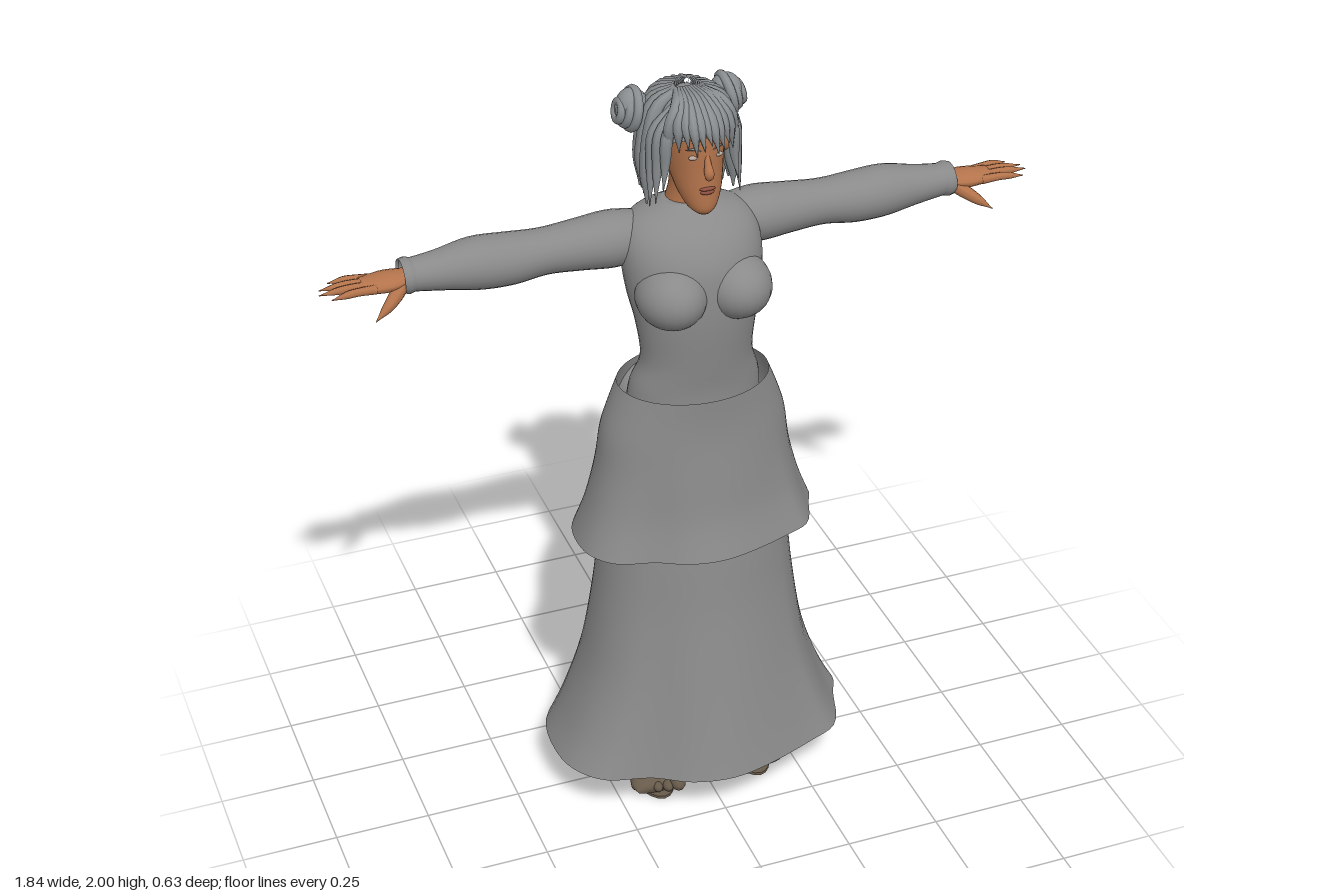
import * as THREE from 'three';
import { mergeVertices } from 'three/addons/utils/BufferGeometryUtils.js';

const mat = (name, color, side = THREE.FrontSide) => {
  const m = new THREE.MeshStandardMaterial({ color, side });
  m.name = name;
  return m;
};
const TAU = Math.PI * 2;
const V = (p) => new THREE.Vector3(...p);

// Smoothly resample a short table of rows to n + 1 rows
function smoothRows(rows, n) {
  const curves = rows[0].map((_, k) => new THREE.SplineCurve(rows.map((r, i) => new THREE.Vector2(i, r[k]))));
  return Array.from({ length: n + 1 }, (_, i) => curves.map((c) => c.getPoint(i / n).y));
}

// Skin a stack of closed rings, with optional end caps
function skin(rings, capStart = false, capEnd = false) {
  const m = rings[0].length, pos = rings.flat(2), idx = [];
  for (let i = 0; i < rings.length - 1; i++) {
    for (let j = 0; j < m; j++) {
      const a = i * m + j, b = i * m + (j + 1) % m, c = a + m, d = b + m;
      idx.push(a, c, b, b, c, d);
    }
  }
  const cap = (i, flip) => {
    const mid = [0, 1, 2].map((k) => rings[i].reduce((s, p) => s + p[k], 0) / m);
    const c = pos.length / 3;
    pos.push(...mid);
    for (let j = 0; j < m; j++) {
      const a = i * m + j, b = i * m + (j + 1) % m;
      idx.push(c, flip ? b : a, flip ? a : b);
    }
  };
  if (capStart) cap(0, false);
  if (capEnd) cap(rings.length - 1, true);
  const g = new THREE.BufferGeometry();
  g.setAttribute('position', new THREE.Float32BufferAttribute(pos, 3));
  g.setIndex(idx);
  g.computeVertexNormals();
  return g;
}

// Upright body: rows of [y, half width, front z, back z, centre x]
function body(rows, n, seg, caps = true) {
  const rings = smoothRows(rows, n).map(([y, rx, zf, zb, cx = 0]) =>
    Array.from({ length: seg }, (_, j) => {
      const t = (j / seg) * TAU;
      return [cx + rx * Math.cos(t), y, (zf + zb) / 2 + ((zf - zb) / 2) * Math.sin(t)];
    }));
  return skin(rings, caps, caps);
}

// Tube with changing radius along a path, squashed per axis
function limb(points, radii, n, seg, squash = [1, 1, 1]) {
  const curve = new THREE.CatmullRomCurve3(points.map(V));
  const g = new THREE.TubeGeometry(curve, n, 1, seg);
  const r = smoothRows(radii.map((x) => [x]), n);
  const p = g.attributes.position, v = new THREE.Vector3(), s = V(squash);
  for (let i = 0; i < p.count; i++) {
    const ring = Math.floor(i / (seg + 1)), c = curve.getPointAt(ring / n);
    v.fromBufferAttribute(p, i).sub(c).multiply(s).multiplyScalar(Math.max(r[ring][0], 0.0008)).add(c);
    p.setXYZ(i, v.x, v.y, v.z);
  }
  g.deleteAttribute('uv');
  g.deleteAttribute('normal');
  const merged = mergeVertices(g, 1e-5);
  merged.computeVertexNormals();
  return merged;
}

// Uneven hem outline [x, z], scaled to about one unit
const HEM = [[0.385, 0], [0.36, 0.07], [0.31, 0.2], [0.23, 0.24], [0.1, 0.29], [0, 0.31], [-0.1, 0.29], [-0.19, 0.235],
  [-0.3, 0.2], [-0.36, 0.125], [-0.378, 0.02], [-0.36, -0.1], [-0.27, -0.22], [-0.16, -0.315], [0.03, -0.305],
  [0.23, -0.285], [0.29, -0.21], [0.365, -0.07]];

// Skirt tier: rows of [y, half width, front z, back z, hem influence]
function tier(rows) {
  const curve = new THREE.CatmullRomCurve3(HEM.map(([x, z]) => new THREE.Vector3(x / 0.38, 0, z / 0.312)), true);
  const outline = curve.getPoints(72).slice(0, 72);
  const rings = smoothRows(rows, 20).map(([y, rx, zf, zb, w]) => outline.map((o) => {
    const len = Math.hypot(o.x, o.z), k = (1 - w) / len + w;
    return [o.x * k * rx, y, o.z * k * (o.z > 0 ? zf : -zb)];
  }));
  return skin(rings);
}

export function createModel() {
  const model = new THREE.Group();
  model.name = 'dancer';
  const cloth = mat('grey cloth', 0x8a8a8a, THREE.DoubleSide);
  const hairMat = mat('grey hair', 0x8b8f91);
  const skinMat = mat('brown skin', 0xb4744c);
  const footMat = mat('dark stocking', 0x675a4a);
  const lipMat = mat('lips', 0x8e5040);
  const eyeMat = mat('eye', 0xb9aaa0);
  const add = (name, geo, m, parent = model) => {
    const mesh = new THREE.Mesh(geo, m);
    mesh.name = name;
    parent.add(mesh);
    return mesh;
  };
  const ball = (name, c, r, m, parent = model, w = 24) => {
    const g = new THREE.SphereGeometry(1, w, Math.ceil(w * 0.7));
    g.scale(...r).translate(...c);
    return add(name, g, m, parent);
  };

  // Skirt tiers, open at both ends
  add('lowerSkirt', tier([[0.15, 0.405, 0.312, -0.312, 1], [0.24, 0.36, 0.29, -0.29, 0.8], [0.4, 0.305, 0.255, -0.25, 0.5],
    [0.6, 0.27, 0.215, -0.205, 0.25], [0.78, 0.25, 0.19, -0.18, 0.1], [0.9, 0.235, 0.165, -0.165, 0]]), cloth);
  add('upperSkirt', tier([[0.785, 0.32, 0.22, -0.235, 0.9], [0.88, 0.285, 0.19, -0.2, 0.6], [0.99, 0.257, 0.172, -0.182, 0.25],
    [1.09, 0.242, 0.158, -0.168, 0.05], [1.16, 0.22, 0.153, -0.152, 0], [1.22, 0.196, 0.153, -0.142, 0]]), cloth);

  // Bodice
  add('torso', body([[1.14, 0.175, 0.12, -0.12], [1.22, 0.168, 0.118, -0.1], [1.3, 0.144, 0.126, -0.075], [1.4, 0.154, 0.135, -0.09],
    [1.48, 0.17, 0.135, -0.12], [1.56, 0.178, 0.125, -0.142], [1.62, 0.172, 0.095, -0.148], [1.66, 0.145, 0.055, -0.138],
    [1.685, 0.085, 0.02, -0.105], [1.695, 0.062, 0.005, -0.09]], 40, 40), cloth);

  for (const s of [1, -1]) {
    const side = s > 0 ? 'left' : 'right';
    ball(side + 'Bust', [s * 0.084, 1.495, 0.075], [0.088, 0.082, 0.1], cloth);
    ball(side + 'SeatCurve', [s * 0.088, 1.11, -0.125], [0.078, 0.088, 0.067], cloth);

    // Sleeve, open at the wrist
    add(side + 'Sleeve', limb([[s * 0.1, 1.603, -0.06], [s * 0.18, 1.603, -0.06], [s * 0.27, 1.603, -0.06], [s * 0.36, 1.602, -0.06],
      [s * 0.45, 1.598, -0.062], [s * 0.54, 1.602, -0.062], [s * 0.63, 1.602, -0.06], [s * 0.71, 1.603, -0.06]],
      [0.06, 0.07, 0.063, 0.057, 0.064, 0.064, 0.049, 0.039], 32, 24, [1, 1, 1.05]), cloth);
    add(side + 'Cuff', limb([[s * 0.685, 1.603, -0.06], [s * 0.7, 1.603, -0.06], [s * 0.715, 1.603, -0.06]],
      [0.04, 0.044, 0.041], 6, 20, [1, 1, 1.1]), cloth);

    // Hand with four fingers and a thumb
    const hand = new THREE.Group();
    hand.name = side + 'Hand';
    model.add(hand);
    add('palm', limb([[s * 0.62, 1.602, -0.06], [s * 0.69, 1.602, -0.06], [s * 0.75, 1.6, -0.055], [s * 0.815, 1.6, -0.052]],
      [0.026, 0.029, 0.043, 0.034], 14, 14, [1, 0.48, 1]), skinMat, hand);
    [[0.885, -0.093], [0.913, -0.065], [0.918, -0.042], [0.895, -0.01]].forEach(([x, z], i) => {
      const z0 = -0.08 + i * 0.019;
      add('finger', limb([[s * 0.785, 1.601, z0], [s * 0.84, 1.605, (z + z0) / 2], [s * x, 1.6, z]],
        [0.012, 0.0105, 0.009, 0.001], 12, 8), skinMat, hand);
    });
    add('thumb', limb([[s * 0.715, 1.593, -0.04], [s * 0.755, 1.568, -0.005], [s * 0.8, 1.537, 0.018]],
      [0.018, 0.017, 0.012, 0.001], 12, 8), skinMat, hand);

    // Leg and foot
    add(side + 'Leg', body([[0.04, 0.045, -0.04, -0.15, s * 0.13], [0.1, 0.05, -0.02, -0.15, s * 0.13], [0.17, 0.056, -0.02, -0.15, s * 0.13],
      [0.35, 0.068, 0.0, -0.155, s * 0.125], [0.52, 0.07, 0.02, -0.12, s * 0.115], [0.9, 0.09, 0.09, -0.1, s * 0.1]], 20, 18), footMat);
    const footRings = smoothRows([[-0.158, 0.125, 0.018, 0.055], [-0.145, 0.127, 0.04, 0.085], [-0.09, 0.13, 0.048, 0.135], [-0.02, 0.135, 0.05, 0.12],
      [0.05, 0.141, 0.06, 0.078], [0.105, 0.144, 0.07, 0.055], [0.135, 0.145, 0.062, 0.035]], 20).map(([z, cx, rx, top]) =>
      Array.from({ length: 18 }, (_, j) => {
        const t = (j / 18) * TAU, u = -Math.sin(t);
        return [s * cx + rx * Math.cos(t), u > 0 ? 0.025 + u * (top - 0.025) : 0.025 + u * 0.015, z];
      }));
    add(side + 'Foot', skin(footRings, true, true), footMat);
    for (let i = 0; i < 5; i++) {
      const r = i ? 0.0155 - i * 0.0008 : 0.021;
      ball(side + 'Toe', [s * (0.096 + i * 0.0265), 0.012 + r, 0.14 - i * i * 0.0022], [r, r, r * 1.4], footMat, model, 10);
    }
    const sole = new THREE.CylinderGeometry(1, 1, 0.008, 24);
    sole.scale(0.062, 1, 0.155).translate(s * 0.138, 0.004, 0.002);
    add(side + 'Sole', sole, footMat);
  }

  // Head and face
  const head = new THREE.Group();
  head.name = 'head';
  model.add(head);
  add('neck', limb([[0, 1.65, -0.055], [0, 1.72, -0.045], [0, 1.8, -0.03]], [0.058, 0.044, 0.045], 10, 20), skinMat, head);
  add('face', body([[1.708, 0.018, 0.09, 0.05], [1.725, 0.037, 0.1, 0.015], [1.765, 0.055, 0.101, -0.03], [1.82, 0.066, 0.1, -0.08],
    [1.88, 0.07, 0.1, -0.1], [1.93, 0.066, 0.094, -0.1], [1.97, 0.035, 0.05, -0.06]], 26, 28), skinMat, head);
  add('nose', limb([[0, 1.868, 0.094], [0, 1.84, 0.105], [0, 1.818, 0.112], [0, 1.808, 0.098]], [0.006, 0.009, 0.0125, 0.004], 12, 10), skinMat, head);
  ball('upperLip', [0, 1.781, 0.1], [0.021, 0.005, 0.007], lipMat, head, 12);
  ball('lowerLip', [0, 1.772, 0.1], [0.018, 0.006, 0.007], lipMat, head, 12);
  for (const s of [1, -1]) {
    ball('eye', [s * 0.03, 1.862, 0.088], [0.014, 0.006, 0.006], eyeMat, head, 12);
    add('eyebrow', limb([[s * 0.014, 1.88, 0.098], [s * 0.03, 1.886, 0.093], [s * 0.047, 1.88, 0.079]], [0.001, 0.003, 0.001], 8, 6), hairMat, head);
    ball('ear', [s * 0.082, 1.855, 0.004], [0.014, 0.03, 0.018], skinMat, head, 12);
  }

  // Hair: tilted cap, hanging bob, fringe and two buns
  const hair = new THREE.Group();
  hair.name = 'hair';
  model.add(hair);
  const cap = new THREE.SphereGeometry(1, 32, 18, 0, TAU, 0, Math.PI * 0.55);
  cap.rotateX(-0.5).scale(0.095, 0.115, 0.125).translate(0, 1.872, -0.025);
  add('hairCap', cap, hairMat, hair);
  const curtain = (f) => [f * 0.108, f * 0.13];
  for (let i = 0; i < 29; i++) {
    const a = (-98 + i * 7) * Math.PI / 180, sx = Math.sin(a), cz = -Math.cos(a), out = i % 2 ? 0.94 : 1.02;
    const at = (f, y) => [sx * curtain(f * out)[0], y, -0.035 + cz * curtain(f * out)[1]];
    const end = 1.705 + (i * 37 % 11) * 0.0035;
    add('bobLock', limb([at(0.25, 1.985), at(0.72, 1.955), at(0.94, 1.88), at(1.0, 1.79), at(1.02, end)],
      [0.01, 0.018, 0.019, 0.019, 0.002], 16, 7), hairMat, hair);
  }
  for (let i = 0; i < 11; i++) {
    const u = (i - 5) / 5, x = u * 0.082;
    add('fringeLock', limb([[u * 0.03, 1.985, -0.03], [x * 0.7, 1.974, 0.045], [x * 0.95, 1.935, 0.1 - u * u * 0.045],
      [x * 1.04 + 0.008, 1.876 - Math.abs(u) * 0.018 + (i % 3) * 0.01, 0.112 - u * u * 0.066]],
      [0.008, 0.016, 0.015, 0.001], 14, 7), hairMat, hair);
  }
  for (const s of [1, -1]) {
    [[0.088, 0.05, 1.77], [0.1, 0.03, 1.73], [0.108, 0.01, 1.715]].forEach(([x, z, y]) =>
      add('sideLock', limb([[s * 0.05, 1.965, z * 0.6], [s * x * 0.93, 1.91, z], [s * x, 1.83, z], [s * (x + 0.008), y, z + 0.008]],
        [0.008, 0.015, 0.012, 0.001], 14, 7), hairMat, hair));
    ball('bun', [s * 0.12, 1.925, -0.09], [0.042, 0.052, 0.045], hairMat, hair, 18);
    for (let k = 0; k < 3; k++) {
      const ring = new THREE.TorusGeometry(0.046 - k * 0.012, 0.012, 8, 22);
      ring.rotateY(Math.PI / 2).rotateX(k * 0.8).rotateZ(s * 0.2).translate(s * (0.121 + k * 0.016), 1.925, -0.09);
      add('bunCoil', ring, hairMat, hair);
    }
  }
  return model;
}
